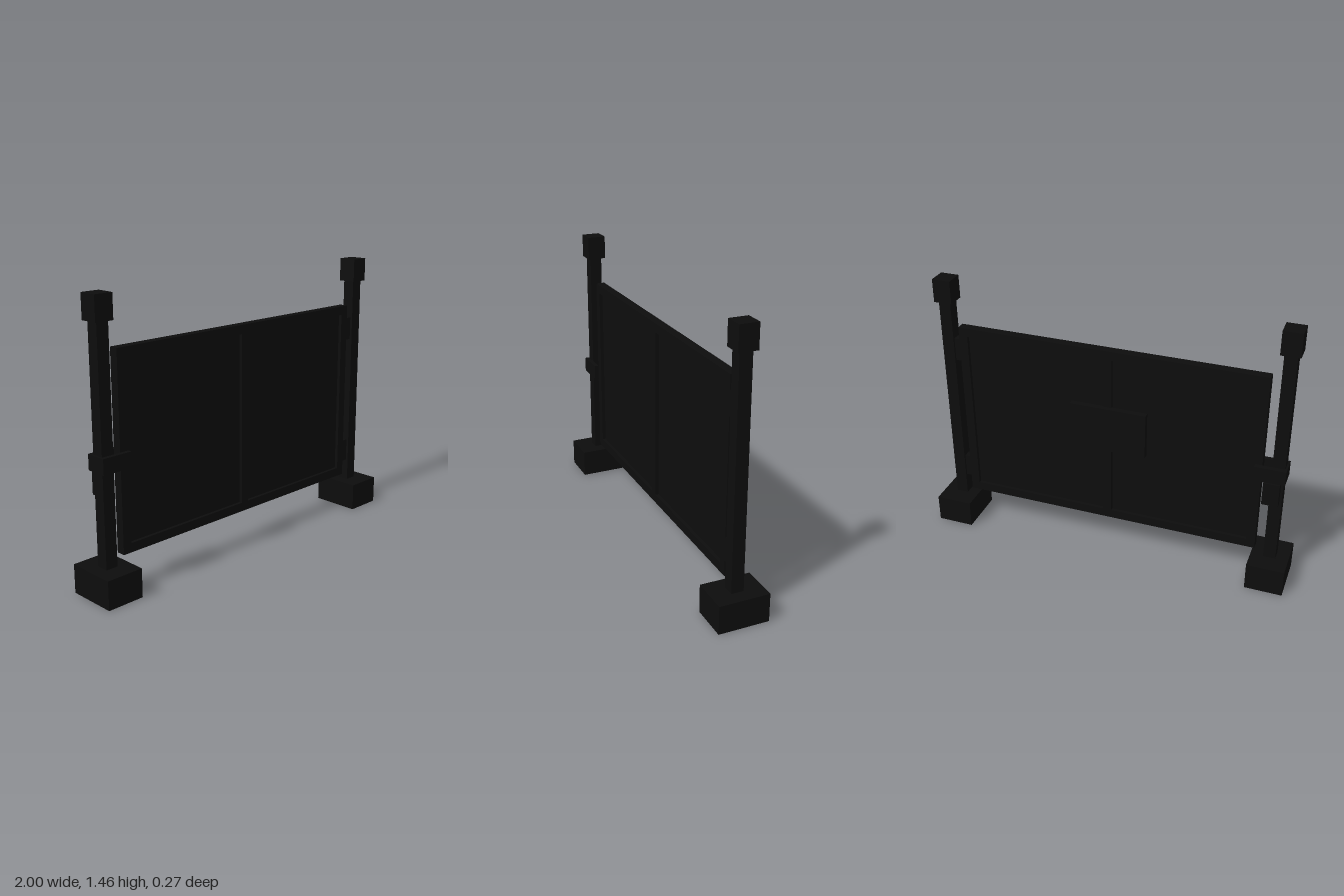
import * as THREE from 'three';

export function createModel() {
  const gate = new THREE.Group();
  gate.name = 'gate';
  const black = new THREE.MeshStandardMaterial({ color: 0x0d0d0d });
  black.name = 'black';

  // Box given by its extents on each axis
  function box(name, parent, [x0, x1], [y0, y1], [z0, z1]) {
    const mesh = new THREE.Mesh(new THREE.BoxGeometry(x1 - x0, y1 - y0, z1 - z0), black);
    mesh.position.set((x0 + x1) / 2, (y0 + y1) / 2, (z0 + z1) / 2);
    mesh.name = name;
    parent.add(mesh);
  }
  function group(name) {
    const g = new THREE.Group();
    g.name = name;
    gate.add(g);
    return g;
  }
  const around = (c, w) => [c - w / 2, c + w / 2];

  // Posts with footings and square caps
  for (const [side, x] of [['right', -0.9], ['left', 0.896]]) {
    const post = group(side + 'Post');
    box('footing', post, around(Math.sign(x) * 0.9, 0.2), [0, 0.15], [-0.133, 0.133]);
    box('shaft', post, around(x, 0.065), [0.15, 1.335], [-0.031, 0.034]);
    box('cap', post, around(x, 0.099), [1.335, 1.46], [-0.049, 0.05]);
  }

  // Leaf: frame of square bars around a thin recessed panel
  const leaf = group('leaf');
  const [l, r, bottom, top, bar] = [-0.817, 0.831, 0.187, 1.2, 0.048];
  const depth = [-0.027, 0.021];
  box('bottomRail', leaf, [l, r], [bottom, bottom + bar], depth);
  box('topRail', leaf, [l, r], [top - bar, top], depth);
  for (const [name, x] of [['rightStile', l + bar / 2], ['middleStile', 0.007], ['leftStile', r - bar / 2]]) {
    box(name, leaf, around(x, bar), [bottom + bar, top - bar], depth);
  }
  box('panel', leaf, [l + bar, r - bar], [bottom + bar, top - bar], [-0.009, 0.003]);
  box('backPlate', leaf, [-0.209, 0.205], [0.63, 0.88], [-0.051, -0.02]);

  // Hinges between leaf and left post
  const hinges = group('hinges');
  for (const y of [0.333, 1.065]) {
    box('hinge', hinges, [r, 0.864], around(y, 0.126), [-0.021, 0.021]);
  }

  // Fork latch wrapped round the right post, with a lock hanging behind
  const latch = group('latch');
  box('frontFork', latch, [-0.943, -0.78], [0.63, 0.71], [0.034, 0.057]);
  box('backFork', latch, [-0.943, -0.78], [0.63, 0.71], [-0.057, -0.031]);
  box('forkBridge', latch, [-0.943, -0.932], [0.63, 0.71], [-0.031, 0.034]);
  box('lock', latch, [-0.92, -0.835], [0.502, 0.63], [-0.066, -0.031]);

  return gate;
}
